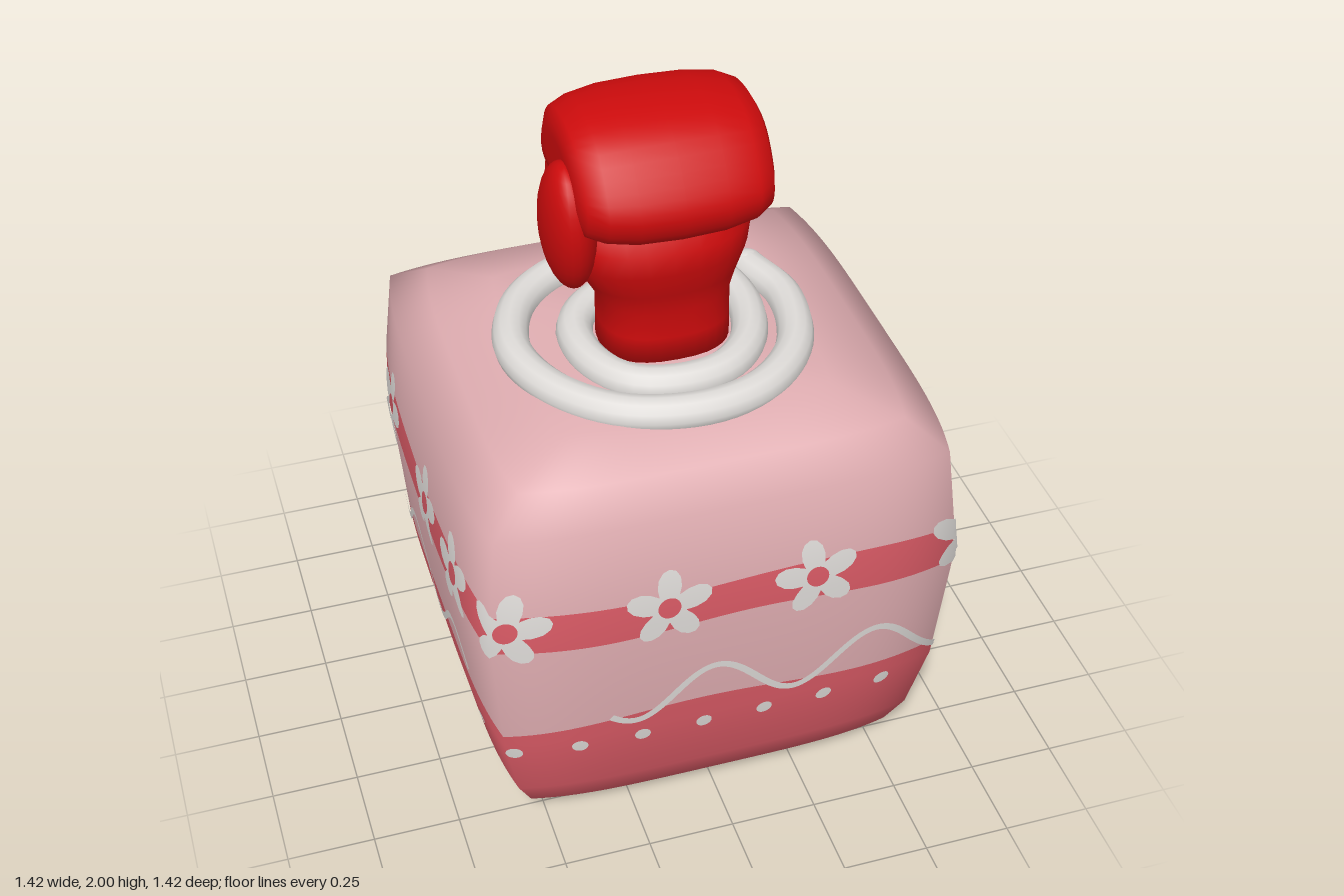
import * as THREE from 'three';

const paint = (name, color) => {
  const m = new THREE.MeshStandardMaterial({ color });
  m.name = name;
  return m;
};

// Body profile: height, half width, upward part of the normal
const PROFILE = [
  [0, 0, -1], [0.012, 0.43, -0.85], [0.07, 0.58, -0.6], [0.17, 0.625, -0.3], [0.4, 0.672, -0.12],
  [0.82, 0.705, 0], [1.14, 0.672, 0.35], [1.21, 0.57, 0.8], [1.25, 0.4, 0.98], [1.253, 0, 1],
];
const HALF = 0.66, SIDE = 2 * HALF, AROUND = 4 * SIDE;

function profileAt(y) {
  let i = 1;
  while (i < PROFILE.length - 1 && y > PROFILE[i][0]) i++;
  const a = PROFILE[i - 1], b = PROFILE[i];
  const t = THREE.MathUtils.clamp((y - a[0]) / (b[0] - a[0]), 0, 1);
  return [a[1] + (b[1] - a[1]) * t, a[2] + (b[2] - a[2]) * t];
}

// Point and normal on the bulging square body, d = distance around from front centre
function onBody(d, y, lift = 0) {
  const k = Math.floor((d + HALF) / SIDE);
  const s = (d - k * SIDE) / HALF;
  const [h, ny] = profileAt(y);
  const turn = k * Math.PI / 2;
  const up = new THREE.Vector3(0, 1, 0);
  const p = new THREE.Vector3(s * 0.94 * h, y, h * (1 - 0.06 * s ** 4)).applyAxisAngle(up, turn);
  const a = turn + Math.sign(s) * s ** 4 * Math.PI / 4;
  const w = Math.sqrt(1 - ny * ny);
  const n = new THREE.Vector3(Math.sin(a) * w, ny, Math.cos(a) * w);
  return { p: p.addScaledVector(n, lift), n };
}

// Grid of (d, y) pairs laid on the body
function skin(rows, lift = 0) {
  const pos = [], nor = [], idx = [], c = rows[0].length;
  rows.forEach((row, r) => row.forEach(([d, y], i) => {
    const q = onBody(d, y, lift);
    pos.push(...q.p.toArray());
    nor.push(...q.n.toArray());
    if (r && i) {
      const e = r * c + i, b = e - c;
      idx.push(b - 1, b, e, b - 1, e, e - 1);
    }
  }));
  const g = new THREE.BufferGeometry();
  g.setAttribute('position', new THREE.Float32BufferAttribute(pos, 3));
  g.setAttribute('normal', new THREE.Float32BufferAttribute(nor, 3));
  g.setIndex(idx);
  return g;
}

// Horizontal zone of the body between two edge curves
function zone(low, high) {
  const N = 200;
  const keys = PROFILE.map(p => p[0]).filter(y => y > low(0) + 0.03 && y < high(0) - 0.0005);
  if (low(0) < 0.05 && high(0) > 0.05 && !keys.includes(0.07)) keys.unshift(0.07);
  return skin([low, ...keys.map(y => () => y), high].map(f =>
    Array.from({ length: N + 1 }, (_, i) => {
      const d = -HALF + AROUND * i / N;
      return [d, f(d)];
    })));
}

// Closed solid through cross-section loops
function loft(rings) {
  const n = rings[0].length, pos = [], idx = [];
  rings.forEach((ring, r) => ring.forEach((p, i) => {
    pos.push(...p);
    if (r) {
      const j = (i + 1) % n, a = (r - 1) * n, b = r * n;
      idx.push(a + i, a + j, b + j, a + i, b + j, b + i);
    }
  }));
  [rings[0], rings.at(-1)].forEach((ring, e) => {
    const at = e ? (rings.length - 1) * n : 0, mid = pos.length / 3;
    pos.push(...[0, 1, 2].map(k => ring.reduce((t, p) => t + p[k], 0) / n));
    for (let i = 0; i < n; i++) {
      const j = (i + 1) % n;
      idx.push(mid, at + (e ? i : j), at + (e ? j : i));
    }
  });
  const g = new THREE.BufferGeometry();
  g.setAttribute('position', new THREE.Float32BufferAttribute(pos, 3));
  g.setIndex(idx);
  g.computeVertexNormals();
  return g;
}

export function createModel() {
  const model = new THREE.Group();
  const pink = paint('pale pink', 0xdfadb1), rose = paint('rose', 0xd95a65);
  const white = paint('cream white', 0xdedbd8), red = paint('glove red', 0xcc0b0c);
  const add = (name, geo, mat, parent = model) => {
    const m = new THREE.Mesh(geo, mat);
    m.name = name;
    parent.add(m);
    return m;
  };
  const wave = (base, amp, count, shift) => d =>
    base + amp * Math.sin(2 * Math.PI * count * d / AROUND + shift);

  // Cake body in coloured zones
  const fillTop = wave(0.455, 0.015, 5, 2), bandLow = wave(0.78, 0.012, 6, 1), bandHigh = wave(0.9, 0.01, 5, 0);
  add('cakeBase', zone(() => 0, () => 0.012), pink);
  add('lowerLayer', zone(() => 0.012, fillTop), rose);
  add('middleLayer', zone(fillTop, bandLow), pink);
  add('ribbonBand', zone(bandLow, bandHigh), rose);
  add('upperLayer', zone(bandHigh, () => 1.253), pink);

  // Five-petal flowers with open centres
  const decor = new THREE.Group();
  decor.name = 'decorations';
  model.add(decor);
  const disc = (d, y, inner, outer, lift) => skin([1, 0.75, 0.5, 0.25, 0].map(f =>
    Array.from({ length: 41 }, (_, i) => {
      const a = i / 40 * Math.PI * 2, r = inner + (outer(a) - inner) * f;
      return [d + r * Math.sin(a), y + r * Math.cos(a)];
    }).reverse()), lift);
  const petal = a => 0.048 + 0.077 * Math.abs(Math.cos(2.5 * a)) ** 1.1;
  [-0.62, -0.18, 0.24, 0.7, 1.15, 1.55, 1.94, 2.5, 3.05, 3.58, 4.05, 4.36].forEach((d, i) =>
    add('flower', disc(d, 0.86, 0.032, a => petal(a + (i % 3 - 1) * 0.15), 0.006), white, decor));

  // Row of dots
  for (let i = 0; i < 28; i++)
    add('dot', disc(-0.07 + i * AROUND / 28, 0.37, 0, () => 0.024, 0.006), white, decor);

  // Piped wavy line in two runs
  const ripple = wave(0.52, 0.08, 11, Math.PI / 2 + 0.52);
  [[-0.35, 1.8], [2.1, 4.4]].forEach(([from, to]) => {
    const rows = [[], []], N = 220;
    for (let i = 0; i <= N; i++) {
      const d = from + (to - from) * i / N;
      const slope = (ripple(d + 0.001) - ripple(d - 0.001)) / 0.002;
      const l = 0.011 / Math.hypot(1, slope);
      rows[0].push([d + slope * l, ripple(d) - l]);
      rows[1].push([d - slope * l, ripple(d) + l]);
    }
    add('wavyLine', skin(rows, 0.006), white, decor);
  });

  // Coil of cream on top
  const path = [
    [0.34, -0.2], [0.39, -0.03], [0.34, 0.2], [0.2, 0.35], [0.02, 0.4], [-0.2, 0.35], [-0.35, 0.2], [-0.41, 0],
    [-0.35, -0.2], [-0.22, -0.32], [-0.07, -0.355], [0.1, -0.32], [0.22, -0.23], [0.27, -0.05], [0.23, 0.13],
    [0.13, 0.24], [0, 0.27], [-0.14, 0.23], [-0.22, 0.1], [-0.22, -0.06], [-0.13, -0.17], [0, -0.19],
  ].map(([x, z]) => new THREE.Vector3(x, 1.26, z));
  const coil = new THREE.CatmullRomCurve3(path);
  add('creamCoil', new THREE.TubeGeometry(coil, 110, 0.052, 12), white);
  [path[0], path.at(-1)].forEach(p => add('coilEnd', new THREE.SphereGeometry(0.052, 14, 10), white).position.copy(p));

  // Glove wrist and palm: y, left, right, back, front
  const glove = new THREE.Group();
  glove.name = 'glove';
  model.add(glove);
  const palm = [
    [1.24, -0.17, 0.2, -0.14, 0.16], [1.33, -0.17, 0.2, -0.14, 0.16], [1.41, -0.17, 0.2, -0.14, 0.155],
    [1.48, -0.21, 0.22, -0.175, 0.175], [1.56, -0.26, 0.25, -0.235, 0.2], [1.63, -0.28, 0.265, -0.275, 0.2],
    [1.68, -0.28, 0.27, -0.295, 0.16], [1.75, -0.27, 0.272, -0.3, 0.12], [1.83, -0.26, 0.27, -0.285, 0.1],
    [1.9, -0.24, 0.25, -0.25, 0.08], [1.95, -0.18, 0.2, -0.19, 0.05],
  ].map(([y, l, r, b, f]) => Array.from({ length: 32 }, (_, i) => {
    const a = i / 32 * Math.PI * 2, e = v => Math.sign(v) * Math.abs(v) ** 0.8;
    return [(l + r) / 2 + (r - l) / 2 * e(Math.sin(a)), y, (b + f) / 2 + (f - b) / 2 * e(Math.cos(a))];
  }));
  add('wristAndPalm', loft(palm), red, glove);

  // Curled fingers: side outline (z, y) swept across the width
  const outline = new THREE.CatmullRomCurve3([
    [0.2, 1.685], [0.26, 1.72], [0.282, 1.79], [0.245, 1.87], [0.16, 1.96], [0.05, 1.998], [-0.08, 1.995],
    [-0.18, 1.96], [-0.26, 1.87], [-0.27, 1.76], [-0.15, 1.73], [0, 1.74], [0.11, 1.71],
  ].map(([z, y]) => new THREE.Vector3(0, y, z)), true).getPoints(40).slice(0, -1);
  const fingers = [
    [0.275, 0.4], [0.272, 0.62], [0.255, 0.8], [0.21, 0.91], [0.12, 0.98], [0, 1],
    [-0.12, 0.98], [-0.2, 0.91], [-0.25, 0.8], [-0.268, 0.62], [-0.27, 0.4],
  ].map(([x, s]) => outline.map(p => [x, 1.83 + (p.y - 1.83) * s, p.z * s]));
  add('curledFingers', loft(fingers), red, glove);

  // Thumb folded against the side
  const thumb = add('thumb', new THREE.SphereGeometry(1, 24, 16), red, glove);
  thumb.scale.set(0.075, 0.2, 0.13);
  thumb.position.set(-0.263, 1.685, 0.06);
  thumb.rotation.set(0.15, 0, 0.06);

  return model;
}
